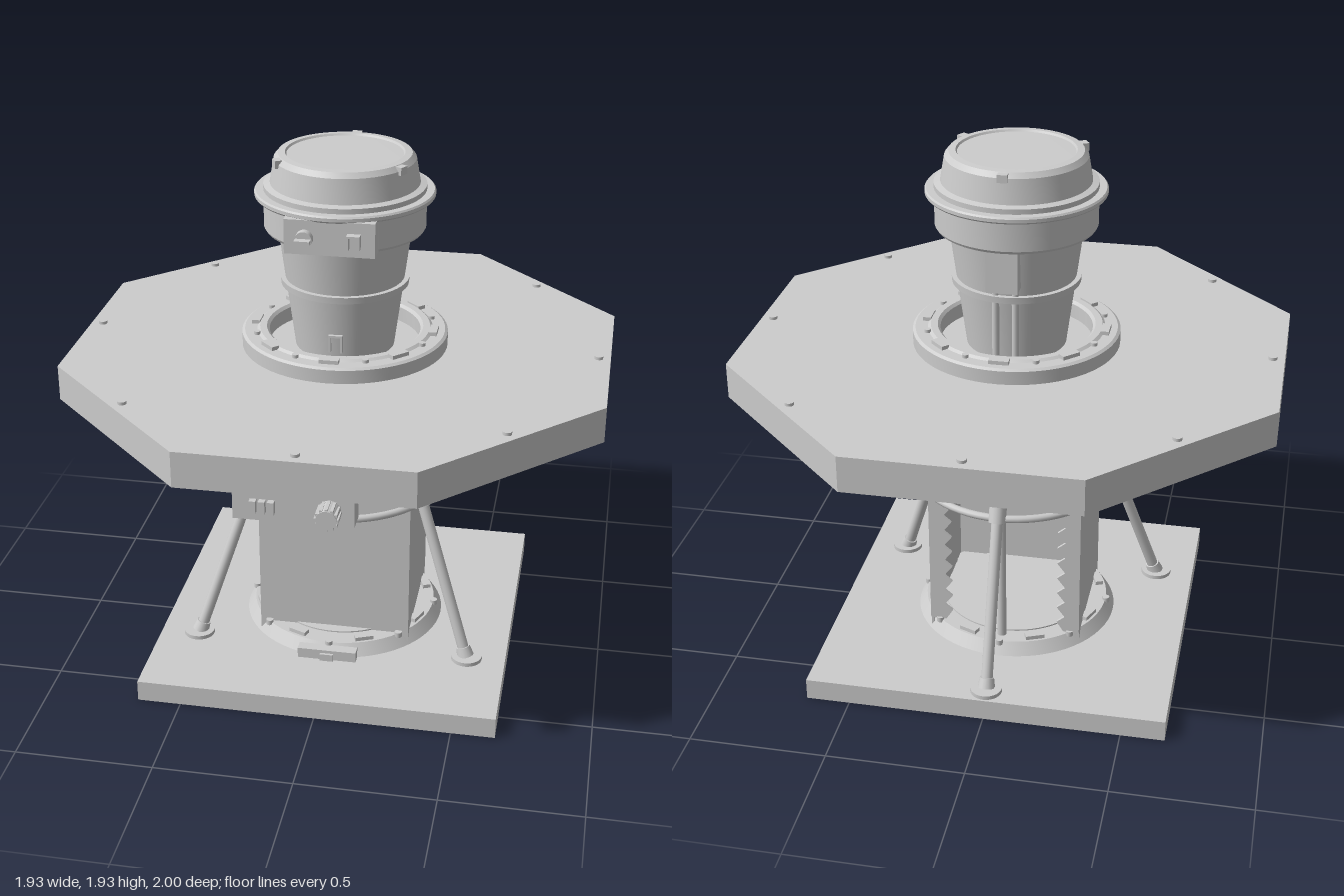
import * as THREE from 'three';
import { toCreasedNormals } from 'three/addons/utils/BufferGeometryUtils.js';

const AXIS_Z = -0.035; // the central axis sits slightly behind z = 0

export function createModel() {
  const model = new THREE.Group();
  const body = new THREE.Group(); // everything centred on the axis
  body.name = 'body';
  body.position.z = AXIS_Z;
  model.add(body);
  const grey = new THREE.MeshStandardMaterial({ color: 0xcccccc, side: THREE.DoubleSide });
  grey.name = 'lightGrey';

  const add = (name, geo, x = 0, y = 0, z = 0) => {
    const mesh = new THREE.Mesh(geo, grey);
    mesh.name = name;
    mesh.position.set(x, y, z);
    body.add(mesh);
    return mesh;
  };
  // box given by its limits
  const box = (name, x0, x1, y0, y1, z0, z1) =>
    add(name, new THREE.BoxGeometry(x1 - x0, y1 - y0, z1 - z0), (x0 + x1) / 2, (y0 + y1) / 2, (z0 + z1) / 2);
  const disc = (name, r, y0, y1, x, z, sides = 20) =>
    add(name, new THREE.CylinderGeometry(r, r, y1 - y0, sides), x, (y0 + y1) / 2, z);
  const lathe = (name, points) =>
    add(name, toCreasedNormals(new THREE.LatheGeometry(points.map(p => new THREE.Vector2(...p)), 64), 0.5));
  // rod between two points
  const rod = (name, a, b, rBottom, rTop = rBottom) => {
    const dir = b.clone().sub(a);
    const mesh = add(name, new THREE.CylinderGeometry(rTop, rBottom, dir.length(), 16));
    mesh.position.copy(a).addScaledVector(dir, 0.5);
    mesh.quaternion.setFromUnitVectors(new THREE.Vector3(0, 1, 0), dir.normalize());
    return mesh;
  };
  const polar = (r, angle, y) => new THREE.Vector3(Math.cos(angle) * r, y, Math.sin(angle) * r);
  // small block on a circle, turned to face outwards
  const radialBlock = (name, r, angle, y, depth, height, width) => {
    const mesh = add(name, new THREE.BoxGeometry(depth, height, width));
    mesh.position.copy(polar(r, angle, y));
    mesh.rotation.y = -angle;
  };

  // Square base and its conical foot ring
  box('basePlate', -0.66, 0.66, 0, 0.08, -0.66, 0.66);
  lathe('baseRing', [[0, 0.08], [0.38, 0.08], [0.35, 0.125], [0.28, 0.125], [0.28, 0.13], [0, 0.13]]);
  for (let i = 0; i < 8; i++) {
    const a = (i + 0.5) * Math.PI / 4;
    radialBlock('baseTab', 0.325, a, 0.13, 0.03, 0.02, 0.07);
    const p = polar(0.352, i * Math.PI / 4, 0);
    disc('baseBolt', 0.014, 0.115, 0.135, p.x, p.z, 12);
  }
  box('baseClip', -0.11, 0.11, 0.08, 0.12, 0.36, 0.4);
  box('baseLatch', -0.025, 0.025, 0.08, 0.108, 0.4, 0.41);

  // Hollow column, open at the back
  box('columnFront', -0.285, 0.285, 0.09, 1.07, 0.23, 0.24);
  for (const s of [-1, 1]) {
    add('columnSide', new THREE.BoxGeometry(0.01, 0.98, 0.48), s * 0.28, 0.58, 0);
    // jagged flange beside the back opening
    const flange = new THREE.Shape();
    flange.moveTo(s * 0.285, 0.13);
    flange.lineTo(s * 0.225, 0.13);
    for (let i = 0; i < 9; i++) {
      flange.lineTo(s * 0.2, 0.17 + i * 0.065);
      flange.lineTo(s * 0.23, 0.195 + i * 0.065);
    }
    flange.lineTo(s * 0.225, 0.8);
    flange.lineTo(s * 0.285, 0.8);
    add('backFlange', new THREE.ExtrudeGeometry(flange, { depth: 0.012, bevelEnabled: false }), 0, 0, -0.252);
  }
  rod('backPole', new THREE.Vector3(0, 0.1, -0.3), new THREE.Vector3(0, 1.07, -0.3), 0.017);

  // Tripod struts with sleeves and feet, tied by a hoop
  for (const angle of [Math.PI / 6, Math.PI * 5 / 6, -Math.PI / 2]) {
    const along = y => polar(0.59 - (y - 0.09) * 0.375, angle, y);
    rod('strut', along(0.09), along(1.07), 0.021);
    rod('strutSleeve', along(0.66), along(0.79), 0.032);
    rod('sleeveTip', along(0.79), along(0.86), 0.032, 0.021);
    rod('strutCollar', along(0.09), along(0.125), 0.032, 0.026);
    const foot = polar(0.595, angle, 0);
    disc('strutFoot', 0.058, 0.08, 0.095, foot.x, foot.z, 28);
  }
  add('hoop', new THREE.TorusGeometry(0.368, 0.014, 10, 64), 0, 0.672, 0).rotation.x = Math.PI / 2;

  // Eight-sided table top
  const R = 0.965, C = 0.4;
  const corners = [[C, R], [R, C], [R, -C], [C, -R], [-C, -R], [-R, -C], [-R, C], [-C, R]];
  const octagon = new THREE.Shape(corners.map(p => new THREE.Vector2(...p)));
  add('tableTop', new THREE.ExtrudeGeometry(octagon, { depth: 0.13, bevelEnabled: false }), 0, 1.215, 0)
    .rotation.x = Math.PI / 2;
  box('mountPlate', -0.375, 0.375, 1.066, 1.086, -0.335, 0.335);
  for (let i = 0; i < 8; i++) {
    const p = polar(0.922, i * Math.PI / 4, 0);
    disc('tableBolt', 0.016, 1.214, 1.226, p.x, p.z, 14);
  }

  // Control box under the front edge
  box('controlBox', -0.2, 0.2, 0.992, 1.086, 0.885, 0.964);
  const knob = add('controlKnob', new THREE.CylinderGeometry(0.034, 0.037, 0.07, 20), 0.12, 1.05, 0.998);
  knob.rotation.x = Math.PI / 2;
  for (let i = 0; i < 12; i++) {
    const a = i * Math.PI / 6;
    add('knobRib', new THREE.BoxGeometry(0.01, 0.01, 0.06), 0.12 + Math.cos(a) * 0.035, 1.05 + Math.sin(a) * 0.035, 1.0);
  }
  for (const x of [-0.13, -0.1, -0.07]) box('controlSwitch', x - 0.011, x + 0.011, 1.025, 1.07, 0.96, 0.985);

  // Flange ring on the table with tabs and bolts
  lathe('flangeRing', [[0.275, 1.21], [0.375, 1.21], [0.375, 1.265], [0.365, 1.272],
    [0.32, 1.272], [0.31, 1.28], [0.285, 1.28], [0.275, 1.27], [0.275, 1.21]]);
  for (let i = 0; i < 8; i++) {
    const a = i * Math.PI / 4;
    radialBlock('flangeTab', 0.325, a, 1.276, 0.03, 0.02, 0.07);
    const p = polar(0.325, a + Math.PI / 8, 0);
    disc('flangeBolt', 0.012, 1.265, 1.284, p.x, p.z, 12);
  }

  // Tapered neck with a band
  lathe('neck', [[0, 1.2], [0.178, 1.2], [0.24, 1.67], [0, 1.67]]);
  lathe('neckBand', [[0.2, 1.453], [0.23, 1.453], [0.232, 1.477], [0.2, 1.477]]);
  box('neckStaple', -0.025, -0.017, 1.255, 1.32, 0.18, 0.205);
  box('neckStaple', 0.017, 0.025, 1.255, 1.32, 0.18, 0.205);
  box('neckStaple', -0.025, 0.025, 1.312, 1.32, 0.18, 0.205);

  // Head: collar, rim and domed lid
  lathe('collar', [[0, 1.66], [0.282, 1.66], [0.288, 1.67], [0.288, 1.785], [0, 1.785]]);
  lathe('rim', [[0.27, 1.78], [0.315, 1.78], [0.32, 1.786], [0.32, 1.798], [0.315, 1.804], [0.27, 1.804]]);
  lathe('lid', [[0.288, 1.8], [0.288, 1.822], [0.265, 1.828], [0.25, 1.915], [0.235, 1.933],
    [0.21, 1.935], [0.205, 1.928], [0, 1.93]]);
  for (const a of [Math.PI / 6, Math.PI * 5 / 6, -Math.PI / 2])
    radialBlock('lidLug', 0.247, a, 1.917, 0.03, 0.028, 0.035);

  // Lock box on the front of the collar
  box('lockBox', -0.157, 0.157, 1.662, 1.785, 0.2, 0.312);
  const dial = add('lockDial', new THREE.CylinderGeometry(0.03, 0.03, 0.03, 24), -0.085, 1.722, 0.325);
  dial.rotation.x = Math.PI / 2;
  box('dialGrip', -0.112, -0.058, 1.716, 1.728, 0.33, 0.367);
  box('hasp', 0.062, 0.07, 1.695, 1.745, 0.31, 0.34);
  box('hasp', 0.1, 0.108, 1.695, 1.745, 0.31, 0.34);
  box('hasp', 0.062, 0.108, 1.738, 1.746, 0.31, 0.34);

  // Rear housing with two downpipes
  box('rearHousing', -0.055, 0.055, 1.51, 1.665, -0.275, -0.2);
  for (const x of [-0.035, 0.035])
    rod('downpipe', new THREE.Vector3(x, 1.21, -0.207), new THREE.Vector3(x, 1.52, -0.207), 0.013);

  return model;
}
